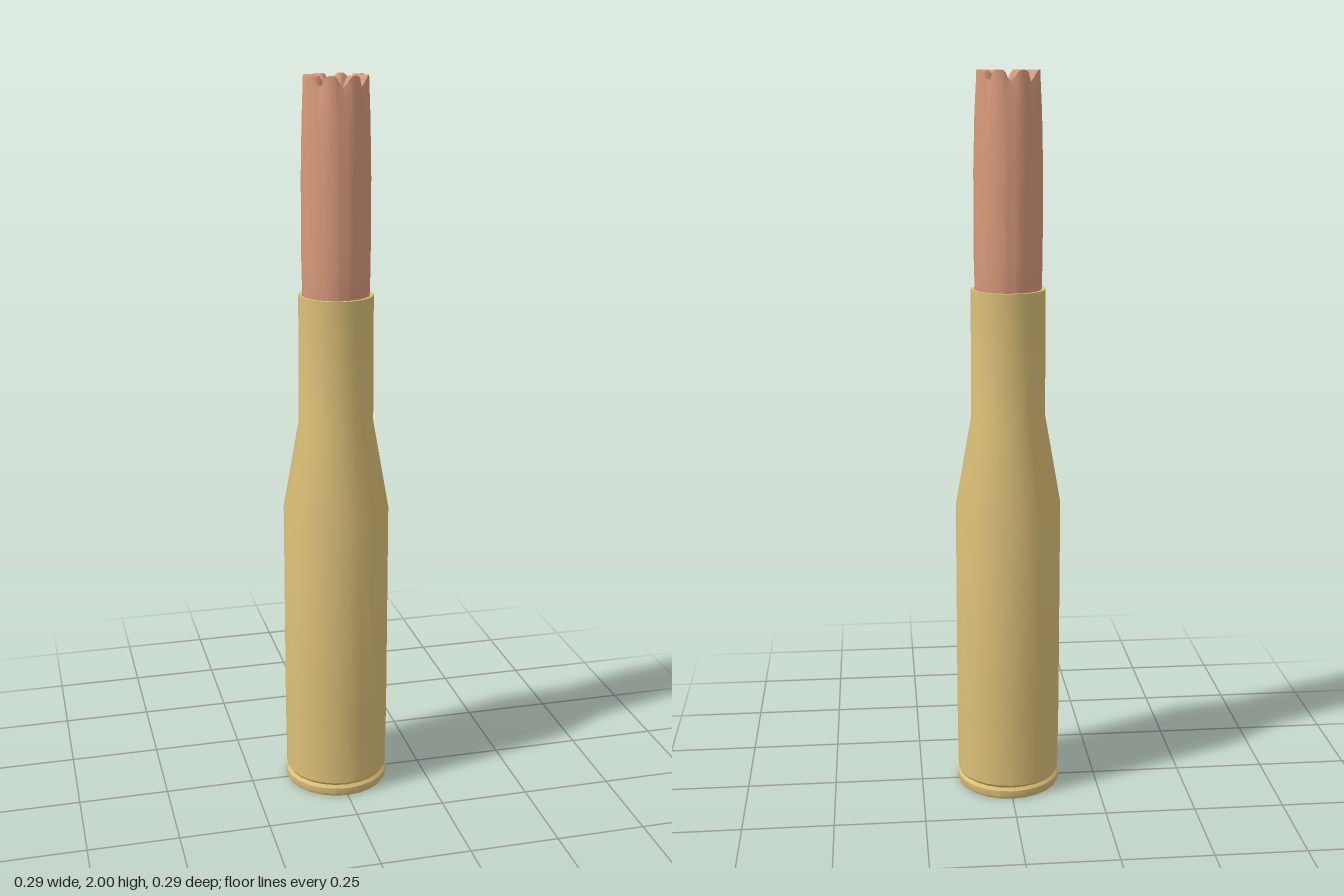
import * as THREE from 'three';
import { toCreasedNormals } from 'three/addons/utils/BufferGeometryUtils.js';

const brass = new THREE.MeshStandardMaterial({ color: 0xdcc078 });
brass.name = 'brass';
const copper = new THREE.MeshStandardMaterial({ color: 0xd99a7c });
copper.name = 'copper';

function lathe(name, profile, material) {
  const points = profile.map(([r, y]) => new THREE.Vector2(r, y));
  const mesh = new THREE.Mesh(toCreasedNormals(new THREE.LatheGeometry(points, 24), 0.5), material);
  mesh.name = name;
  return mesh;
}

// Rings that blend between a petal radius/height and a notch radius/height, eight times round
function fluted(rings, petals = 8, perPetal = 8) {
  const n = petals * perPetal, position = [], index = [];
  for (const [rPetal, rNotch, yPetal, yNotch] of rings) {
    for (let i = 0; i <= n; i++) {
      const a = (i / n) * Math.PI * 2;
      const w = (0.5 + 0.5 * Math.cos(petals * a)) ** 2;
      const r = rPetal + (rNotch - rPetal) * w;
      position.push(r * Math.sin(a), yPetal + (yNotch - yPetal) * w, r * Math.cos(a));
    }
  }
  for (let j = 0; j < rings.length - 1; j++) {
    for (let i = 0; i < n; i++) {
      const a = j * (n + 1) + i, b = a + n + 1;
      index.push(a, a + 1, b, a + 1, b + 1, b);
    }
  }
  const geometry = new THREE.BufferGeometry();
  geometry.setAttribute('position', new THREE.Float32BufferAttribute(position, 3));
  geometry.setIndex(index);
  return toCreasedNormals(geometry, 0.7);
}

export function createModel() {
  const model = new THREE.Group();
  model.name = 'cartridge';

  // Flat base with a thin rim and a shallow groove above it
  model.add(lathe('rim', [[0, 0], [0.143, 0], [0.146, 0.006], [0.146, 0.024], [0.139, 0.032]], brass));

  // Straight body, sloped shoulder, neck and open mouth
  model.add(lathe('caseBody', [
    [0.139, 0.032], [0.144, 0.04], [0.146, 0.23], [0.146, 0.83],
    [0.102, 1.08], [0.101, 1.43], [0.092, 1.43], [0.091, 1.38],
  ], brass));

  // Long bullet whose tip is folded into eight petals around a hollow
  const bullet = new THREE.Mesh(fluted([
    [0, 0, 1.39, 1.39],
    [0.085, 0.085, 1.39, 1.39],
    [0.09, 0.09, 1.43, 1.43],
    [0.092, 0.092, 1.51, 1.51],
    [0.092, 0.092, 1.74, 1.74],
    [0.089, 0.088, 1.89, 1.89],
    [0.086, 0.081, 1.97, 1.95],
    [0.085, 0.077, 2, 1.972],
    [0.058, 0.066, 2, 1.97],
    [0.047, 0.05, 1.985, 1.96],
    [0.038, 0.04, 1.955, 1.945],
    [0.032, 0.032, 1.93, 1.93],
    [0, 0, 1.925, 1.925],
  ]), copper);
  bullet.name = 'bullet';
  model.add(bullet);

  return model;
}
